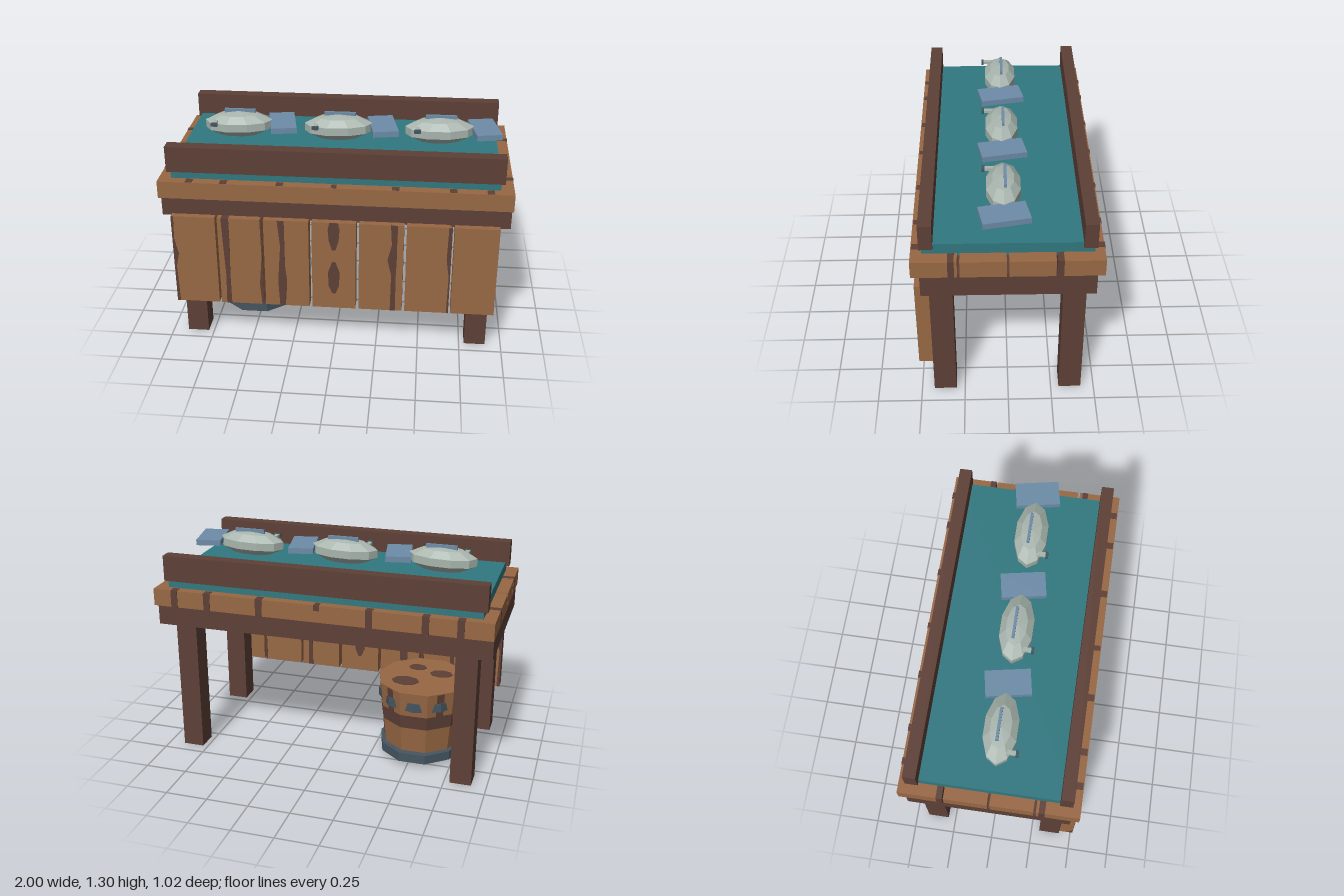
import * as THREE from 'three';

const mat = (name, color) => {
  const m = new THREE.MeshStandardMaterial({ color, flatShading: true });
  m.name = name;
  return m;
};

export function createModel() {
  const wood = mat('light wood', 0x986844);
  const dark = mat('dark wood', 0x5d4037);
  const teal = mat('teal cloth', 0x317880);
  const scale = mat('fish body', 0xa8b5ad);
  const fin = mat('fish fin', 0x6d8ca8);
  const iron = mat('iron', 0x455560);
  const model = new THREE.Group();
  model.name = 'fishStall';

  const add = (parent, name, geometry, material, x = 0, y = 0, z = 0) => {
    const mesh = new THREE.Mesh(geometry, material);
    mesh.name = name;
    mesh.position.set(x, y, z);
    parent.add(mesh);
    return mesh;
  };
  // Box given by its lower and upper limits on each axis
  const box = (parent, name, material, [x0, x1], [y0, y1], [z0, z1]) =>
    add(parent, name, new THREE.BoxGeometry(x1 - x0, y1 - y0, z1 - z0), material,
      (x0 + x1) / 2, (y0 + y1) / 2, (z0 + z1) / 2);

  // Frame and legs
  box(model, 'tableFrame', dark, [-0.995, 0.995], [0.815, 0.965], [-0.465, 0.465]);
  for (const x of [-0.847, 0.843])
    for (const z of [-0.36, 0.364])
      box(model, 'leg', dark, [x - 0.063, x + 0.063], [0, 0.82], [z - 0.064, z + 0.064]);

  // Table boards with dark grain marks on the edges
  for (let i = 0; i < 4; i++) {
    const z = -0.382 + i * 0.257;
    box(model, 'tableBoard', wood, [-1, 1], [0.945, 1.047], [z - 0.122, z + 0.122]);
  }
  for (const s of [-1, 1]) {
    for (const x of [-0.82, -0.625, -0.305, 0.345, 0.665, 0.87])
      box(model, 'edgeGrain', dark, [x - 0.02, x + 0.02], [0.944, 1.049],
        s > 0 ? [0.462, 0.507] : [-0.507, -0.462]);
    box(model, 'edgeKnot', dark, [-0.015, 0.015], [1.015, 1.049],
      s > 0 ? [0.462, 0.507] : [-0.507, -0.462]);
    for (const z of [-0.27, 0.3])
      box(model, 'endGrain', dark, [s * 0.965 - 0.037, s * 0.965 + 0.037], [0.944, 1.049], [z - 0.017, z + 0.017]);
  }

  // Cloth and side rails
  box(model, 'clothTop', teal, [-0.93, 0.926], [1.03, 1.11], [-0.45, 0.453]);
  for (const z of [-0.426, 0.428])
    box(model, 'rail', dark, [-0.953, 0.947], [1.088, 1.24], [z - 0.036, z + 0.036]);

  // Front panel boards
  const edges = [[-0.94, -0.685], [-0.672, -0.415], [-0.405, -0.145], [-0.127, 0.127],
    [0.145, 0.4], [0.415, 0.672], [0.684, 0.937]];
  for (const e of edges) box(model, 'panelBoard', wood, e, [0.26, 0.826], [0.425, 0.503]);

  // Grain inlays: half widths at [y, left, right] levels
  const grain = (x, rows) => {
    const left = rows.map(([y, l]) => new THREE.Vector2(-l, y));
    const right = rows.map(([y, , r]) => new THREE.Vector2(r, y)).reverse();
    const shape = new THREE.Shape([...left, ...right]);
    add(model, 'panelGrain', new THREE.ExtrudeGeometry(shape, { depth: 0.082, bevelEnabled: false }), dark, x, 0, 0.423);
  };
  grain(-0.94, [[0.26, 0, 0.018], [0.5, 0, 0.012], [0.58, 0, 0.03], [0.68, 0, 0.01], [0.826, 0, 0.015]]);
  grain(-0.625, [[0.26, 0.015, 0.015], [0.45, 0.01, 0.014], [0.65, 0.018, 0.02], [0.826, 0.024, 0.02]]);
  grain(-0.415, [[0.26, 0.012, 0], [0.4, 0.022, 0], [0.58, 0.006, 0], [0.826, 0.01, 0]]);
  grain(-0.305, [[0.26, 0.015, 0.018], [0.42, 0.022, 0.03], [0.53, 0.015, 0.02], [0.66, 0.005, 0.02], [0.826, 0.02, 0.02]]);
  grain(0, [[0.65, 0.01, 0.01], [0.71, 0.028, 0.028], [0.78, 0.034, 0.034], [0.826, 0.025, 0.025]]);
  grain(0, [[0.36, 0.01, 0.01], [0.41, 0.03, 0.03], [0.5, 0.034, 0.034], [0.57, 0.01, 0.01]]);
  grain(0.345, [[0.26, 0.015, 0.015], [0.5, 0.012, 0.015], [0.6, 0.035, 0.018], [0.7, 0.012, 0.018], [0.826, 0.02, 0.02]]);
  grain(0.672, [[0.26, 0.012, 0], [0.5, 0.008, 0], [0.62, 0.025, 0], [0.826, 0.02, 0]]);

  // Three fish in a row
  for (let i = 0; i < 3; i++) {
    const fish = new THREE.Group();
    fish.name = 'fish';
    fish.position.set(-0.61 + i * 0.595, 1.217, 0.02);
    const body = add(fish, 'fishBody', new THREE.SphereGeometry(1, 10, 5), scale);
    body.scale.set(0.212, 0.076, 0.102);
    body.rotation.z = 0.03;
    const tail = add(fish, 'tailFin', new THREE.BoxGeometry(0.15, 0.034, 0.256), fin, 0.262, 0.011, 0);
    tail.rotation.y = 0.19;
    box(fish, 'backFin', fin, [0.105 - 0.19, 0.1], [0.05, 0.088], [-0.018, -0.002]);
    box(fish, 'eye', iron, [-0.148, -0.11], [0.018, 0.038], [0.1, 0.115]);
    box(fish, 'eyeSocket', scale, [-0.142, -0.116], [0.02, 0.036], [0.04, 0.101]);
    model.add(fish);
  }

  // Bucket: ten tapered staves, painted belt and iron hoops
  const bucket = new THREE.Group();
  bucket.name = 'bucket';
  bucket.position.set(-0.53, 0, -0.038);
  bucket.scale.z = 1.03;
  model.add(bucket);
  const radius = (y) => 0.228 + 0.047 * (y - 0.018) / 0.462;
  const ring = (name, material, y0, y1, r0, r1, open, start) =>
    add(bucket, name, new THREE.CylinderGeometry(r1, r0, y1 - y0, 10, 1, open, start), material, 0, (y0 + y1) / 2, 0);
  ring('bucketBody', wood, 0.018, 0.48, radius(0.018), radius(0.48), false, Math.PI / 10);
  ring('darkBelt', dark, 0.245, 0.33, radius(0.245) + 0.003, radius(0.33) + 0.003, true, Math.PI / 10);
  ring('upperHoop', iron, 0.363, 0.418, 0.267, 0.267, false, 0);
  ring('lowerHoop', iron, 0.027, 0.083, 0.256, 0.256, false, Math.PI / 10).scale.z = 1.07;

  // Dark marks on some staves and on both ends
  [[1, 0.4, 0.15], [4, 0.4, 0.15], [6, 0.4, 0.15], [9, 0.4, 0.15], [3, 0.15, 0.1], [8, 0.15, 0.1]].forEach(([k, y, h]) => {
    const stave = new THREE.Group();
    stave.name = 'staveMark';
    stave.rotation.y = k * Math.PI / 5;
    const mark = add(stave, 'staveGrain', new THREE.BoxGeometry(0.045, h, 0.006), dark, 0, y, radius(y) * 0.951);
    mark.rotation.x = 0.097;
    bucket.add(stave);
  });
  for (const [x, z, r] of [[-0.1, 0.06, 0.05], [0.09, -0.09, 0.06], [0.06, 0.12, 0.04]])
    for (const y of [0.0165, 0.4815])
      add(bucket, 'endMark', new THREE.CylinderGeometry(r, r, 0.004, 8), dark, x, y, z).scale.x = 1.4;

  return model;
}
